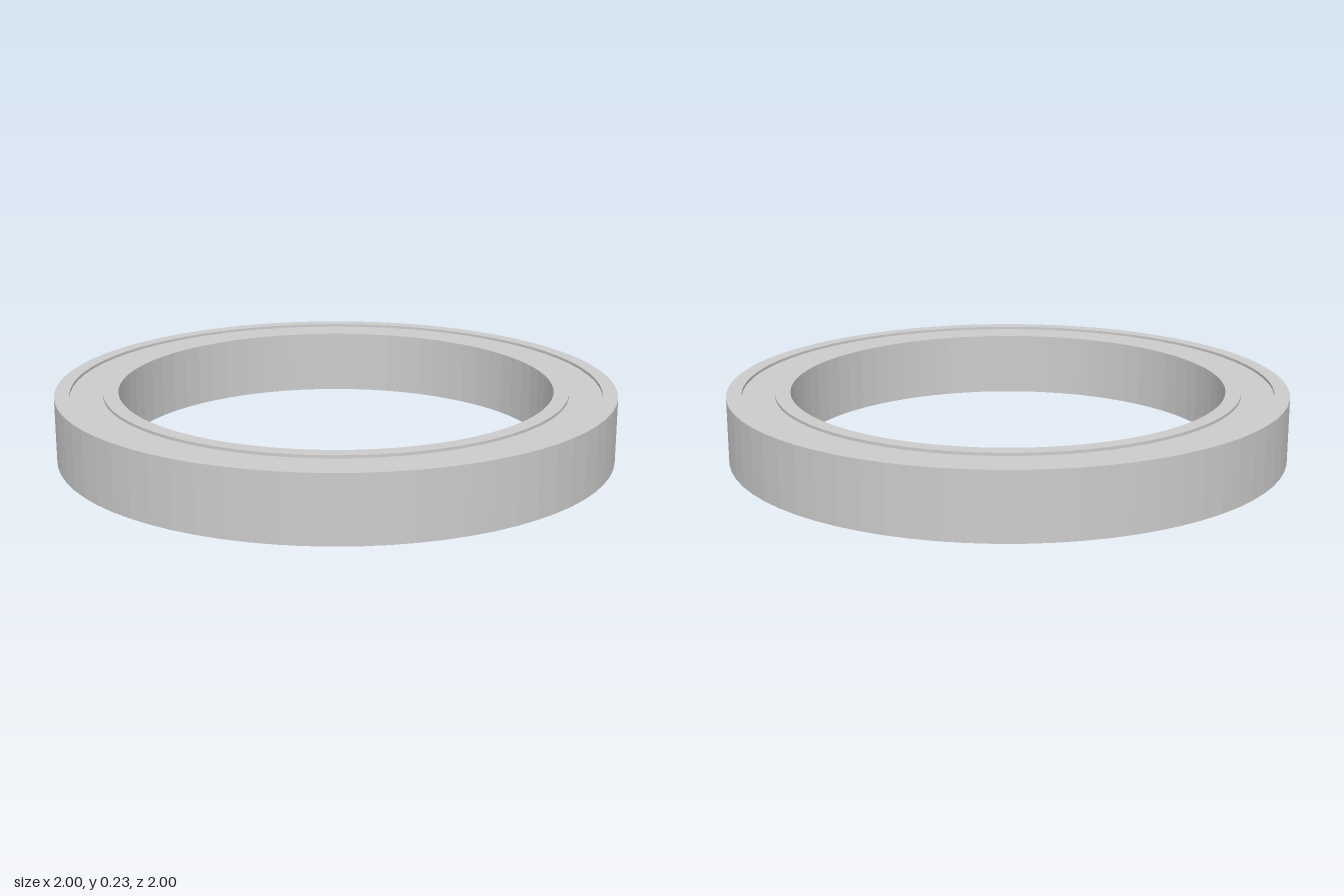
import * as THREE from 'three';

const HEIGHT = 0.234;
const RECESS = 0.01;
const SEGMENTS = 72;

const material = new THREE.MeshStandardMaterial({ color: 0xcccccc, flatShading: true });

// Closed ring with a rectangular cross-section
function ring(name, inner, outer, bottom, top) {
  const profile = [
    [inner, bottom], [outer, bottom], [outer, top], [inner, top], [inner, bottom],
  ].map(([r, y]) => new THREE.Vector2(r, y));
  const mesh = new THREE.Mesh(new THREE.LatheGeometry(profile, SEGMENTS), material);
  mesh.name = name;
  return mesh;
}

export function createModel() {
  const bearing = new THREE.Group();
  bearing.name = 'bearing';

  // Outer and inner races span the full height
  bearing.add(ring('outerRace', 0.947, 1, 0, HEIGHT));
  bearing.add(ring('innerRace', 0.776, 0.83, 0, HEIGHT));

  // Shield between the races, slightly recessed on both faces
  bearing.add(ring('shield', 0.83, 0.947, RECESS, HEIGHT - RECESS));

  return bearing;
}
